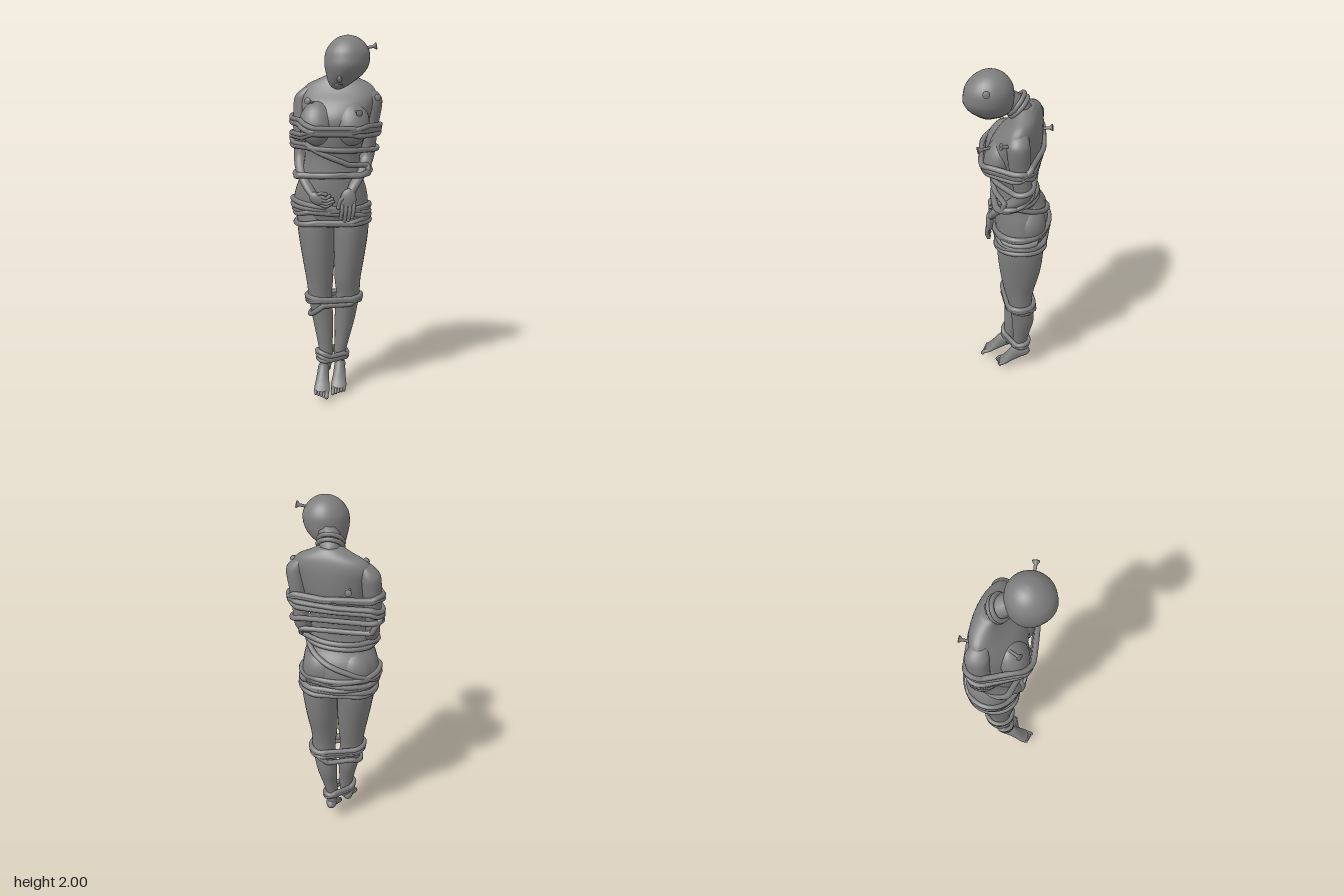
import * as THREE from 'three';

const mat = new THREE.MeshStandardMaterial({ color: 0x7e7e7e });
const V = (x, y, z) => new THREE.Vector3(x, y, z);

// Stations are horizontal ellipses, low to high: [y, centre x, centre z, radius x, radius z, shear of z by x]
const TORSO = [
  [0.97, -0.012, -0.06, 0.13, 0.1, 0], [1.02, -0.016, -0.064, 0.19, 0.135, 0], [1.1, -0.022, -0.066, 0.207, 0.145, 0],
  [1.18, -0.02, -0.056, 0.195, 0.138, 0], [1.26, -0.015, -0.032, 0.168, 0.112, 0], [1.36, -0.01, -0.026, 0.152, 0.102, 0],
  [1.46, 0, -0.025, 0.164, 0.118, 0.03], [1.56, 0.008, -0.034, 0.185, 0.136, 0.06], [1.64, 0.016, -0.054, 0.198, 0.12, 0.1],
  [1.7, 0.02, -0.078, 0.205, 0.092, 0.13], [1.745, 0.022, -0.09, 0.175, 0.07, 0.13], [1.775, 0.025, -0.09, 0.115, 0.056, 0.1],
  [1.8, 0.028, -0.08, 0.06, 0.045, 0],
];
const RIGHT_LEG = [
  [0.13, -0.047, 0.0, 0.028, 0.03], [0.2, -0.045, -0.005, 0.035, 0.036], [0.3, -0.052, -0.015, 0.044, 0.046],
  [0.42, -0.064, -0.03, 0.058, 0.061], [0.56, -0.08, -0.03, 0.066, 0.066], [0.66, -0.083, -0.035, 0.076, 0.082],
  [0.8, -0.092, -0.043, 0.092, 0.107], [0.95, -0.104, -0.055, 0.103, 0.124], [1.06, -0.11, -0.06, 0.1, 0.118],
];
const LEFT_LEG = [
  [0.13, 0.029, -0.085, 0.026, 0.03], [0.2, 0.027, -0.068, 0.033, 0.04], [0.3, 0.042, -0.076, 0.043, 0.05],
  [0.42, 0.057, -0.085, 0.059, 0.065], [0.56, 0.074, -0.07, 0.066, 0.067], [0.66, 0.073, -0.062, 0.074, 0.085],
  [0.8, 0.083, -0.067, 0.087, 0.112], [0.95, 0.091, -0.068, 0.098, 0.126], [1.06, 0.088, -0.07, 0.094, 0.118],
];
const RIGHT_ARM = [
  [1.15, -0.1, 0.09, 0.025, 0.022], [1.19, -0.13, 0.062, 0.03, 0.03], [1.25, -0.164, 0.005, 0.036, 0.044],
  [1.31, -0.186, -0.055, 0.037, 0.05], [1.37, -0.192, -0.088, 0.038, 0.046], [1.5, -0.19, -0.1, 0.044, 0.053],
  [1.64, -0.18, -0.112, 0.052, 0.06], [1.69, -0.168, -0.11, 0.048, 0.056], [1.73, -0.14, -0.105, 0.028, 0.035],
];
const LEFT_ARM = [
  [1.17, 0.095, 0.09, 0.026, 0.02], [1.22, 0.12, 0.058, 0.031, 0.03], [1.3, 0.161, -0.03, 0.038, 0.047],
  [1.37, 0.179, -0.085, 0.041, 0.048], [1.5, 0.192, -0.07, 0.043, 0.052], [1.64, 0.207, -0.062, 0.052, 0.058],
  [1.69, 0.198, -0.062, 0.048, 0.052], [1.73, 0.17, -0.065, 0.028, 0.034],
];
const HEAD = [
  [1.722, 0.03, 0.1, 0.012, 0.014], [1.735, 0.032, 0.1, 0.038, 0.042], [1.765, 0.046, 0.09, 0.07, 0.086],
  [1.8, 0.063, 0.09, 0.096, 0.114], [1.84, 0.073, 0.094, 0.114, 0.126], [1.88, 0.077, 0.092, 0.119, 0.124],
  [1.92, 0.079, 0.089, 0.113, 0.116], [1.96, 0.08, 0.085, 0.088, 0.09], [1.988, 0.08, 0.083, 0.052, 0.053],
  [2, 0.08, 0.083, 0.012, 0.012],
];
const bust = (x, z) => [[1.44, x, z - 0.01, 0.06, 0.06], [1.52, x, z, 0.085, 0.076], [1.6, x, z - 0.02, 0.07, 0.06]];
const SEAT = [[1.02, -0.015, -0.105, 0.16, 0.085], [1.12, -0.015, -0.11, 0.17, 0.092], [1.21, -0.015, -0.095, 0.15, 0.075]];

function add(parent, name, geometry) {
  const mesh = new THREE.Mesh(geometry, mat);
  mesh.name = name;
  parent.add(mesh);
  return mesh;
}

// Smooth closed skin through the stations
function loft(stations, steps = 4, sides = 28) {
  const at = (i) => stations[Math.max(0, Math.min(stations.length - 1, i))];
  const rows = [];
  for (let i = 0; i < stations.length - 1; i++) {
    for (let s = 0; s < steps; s++) {
      const t = s / steps;
      rows.push(at(i).map((b, k) => {
        const a = at(i - 1)[k], c = at(i + 1)[k], d = at(i + 2)[k];
        return b + 0.5 * t * (c - a + t * (2 * a - 5 * b + 4 * c - d + t * (3 * (b - c) + d - a)));
      }));
    }
  }
  rows.push(at(stations.length));
  const pos = [], index = [], n = rows.length;
  for (const [y, cx, cz, rx, rz, k = 0] of rows) {
    for (let i = 0; i < sides; i++) {
      const a = (i / sides) * Math.PI * 2, x = Math.cos(a) * rx;
      pos.push(cx + x, y, cz + Math.sin(a) * rz + k * x);
    }
  }
  for (const r of [rows[0], rows[n - 1]]) pos.push(r[1], r[0], r[2]);
  for (let i = 0; i < sides; i++) {
    const j = (i + 1) % sides;
    for (let r = 0; r < n - 1; r++) {
      const a = r * sides + i, b = r * sides + j;
      index.push(a, a + sides, b, b, a + sides, b + sides);
    }
    index.push(n * sides, i, j, n * sides + 1, (n - 1) * sides + j, (n - 1) * sides + i);
  }
  const g = new THREE.BufferGeometry();
  g.setAttribute('position', new THREE.Float32BufferAttribute(pos, 3));
  g.setIndex(index);
  g.computeVertexNormals();
  return g;
}

function ellipsoid(parent, name, [x, y, z], [rx, ry, rz]) {
  const m = add(parent, name, new THREE.SphereGeometry(1, 24, 16));
  m.position.set(x, y, z);
  m.scale.set(rx, ry, rz);
  return m;
}

const tube = (points, r, closed = false, segments = 12) =>
  new THREE.TubeGeometry(new THREE.CatmullRomCurve3(points, closed), segments, r, 8, closed);

function digit(parent, name, points, r) {
  add(parent, name, tube(points.map((q) => V(...q)), r));
  ellipsoid(parent, name + 'Tip', points.at(-1), [r, r, r]);
}

// Ellipse of a limb at height y, or null when the limb does not reach it
function sectionAt(st, y) {
  if (y < st[0][0] || y > st.at(-1)[0]) return null;
  const i = Math.max(1, st.findIndex((s) => s[0] >= y)), t = (y - st[i - 1][0]) / (st[i][0] - st[i - 1][0]);
  return st[i].map((v, k) => st[i - 1][k] + (v - st[i - 1][k]) * t);
}

// Taut rope: follows the outermost limb in each direction; heights at the -x side, +x side, plus front lift
function rope(parent, limbs, yRight, yLeft, front = 0, from = 0, to = Math.PI * 2) {
  const closed = to - from > 6.28, count = 56, r = 0.0145, pts = [];
  for (let i = 0; i < (closed ? count : count + 1); i++) {
    const a = from + ((to - from) * i) / count, dx = Math.cos(a), dz = Math.sin(a);
    const y = (yRight + yLeft) / 2 + ((yLeft - yRight) / 2) * dx + front * dz;
    let best = -Infinity, point;
    for (const limb of limbs) {
      const s = sectionAt(limb, y);
      if (!s) continue;
      const [, cx, cz, rx, rz, k = 0] = s, ex = dx + k * dz;
      const len = Math.hypot(ex * rx, dz * rz), reach = cx * dx + cz * dz + len;
      if (reach <= best) continue;
      best = reach;
      const px = (rx * rx * ex) / len;
      point = V(cx + px + dx * r * 0.6, y, cz + (rz * rz * dz) / len + k * px + dz * r * 0.6);
    }
    pts.push(point);
  }
  add(parent, 'rope', tube(pts, r, closed, 130));
}

// Nail with a flared head, pointing outward along dir
function nail(parent, at, dir) {
  const profile = [[0, -0.04], [0.007, -0.03], [0.008, 0.03], [0.018, 0.043], [0.018, 0.049], [0, 0.05]];
  const m = add(parent, 'nail', new THREE.LatheGeometry(profile.map((p) => new THREE.Vector2(...p)), 12));
  m.position.set(...at);
  m.quaternion.setFromUnitVectors(V(0, 1, 0), V(...dir).normalize());
}

// Pointed foot, local y runs from heel to toes and local z toward the sole
function foot(parent, name, position, pitch, side) {
  const g = new THREE.Group();
  g.name = name;
  g.position.set(...position);
  g.rotation.x = pitch;
  add(g, 'sole', loft([[-0.006, 0, -0.015, 0.012, 0.016], [0.018, 0, -0.025, 0.029, 0.036], [0.06, 0, -0.036, 0.032, 0.048],
    [0.11, 0, -0.026, 0.036, 0.037], [0.16, 0, -0.013, 0.043, 0.023], [0.195, 0, -0.008, 0.041, 0.015], [0.203, 0, -0.008, 0.02, 0.008]]));
  for (let i = 0; i < 5; i++) {
    const x = side * (-0.03 + i * 0.0155), r = i ? 0.0082 : 0.0115;
    digit(g, 'toe', [[x, 0.185, -0.01], [x, 0.21 - i * 0.003, -0.012], [x, 0.228 - i * 0.006, -0.006]], r);
  }
  parent.add(g);
}

export function createModel() {
  const model = new THREE.Group();
  model.name = 'boundFigure';

  // Body, with the head bowed forward
  const parts = { torso: TORSO, rightLeg: RIGHT_LEG, leftLeg: LEFT_LEG, rightArm: RIGHT_ARM, leftArm: LEFT_ARM, head: HEAD };
  for (const [name, st] of Object.entries(parts)) add(model, name, loft(st));
  for (const [x, z] of [[-0.088, 0.046], [0.1, 0.04]]) {
    ellipsoid(model, 'chest', [x, 1.54, z], [0.095, 0.12, 0.078]).rotation.x = -0.33;
  }
  for (const s of [-1, 1]) ellipsoid(model, 'seat', [-0.013 + s * 0.082, 1.12, -0.104], [0.11, 0.118, 0.1]);
  add(model, 'neck', tube([V(0.025, 1.7, -0.09), V(0.035, 1.79, -0.055), V(0.065, 1.86, 0.04)], 0.058));
  ellipsoid(model, 'nose', [0.044, 1.775, 0.183], [0.013, 0.022, 0.014]).rotation.x = 0.6;
  ellipsoid(model, 'mouth', [0.036, 1.747, 0.148], [0.024, 0.009, 0.012]);
  foot(model, 'leftFoot', [0.03, 0.124, -0.125], 2.11, 1);
  foot(model, 'rightFoot', [-0.058, 0.13, -0.035], 2.05, -1);

  // Hands
  const leftPalm = ellipsoid(model, 'leftPalm', [0.085, 1.135, 0.098], [0.044, 0.062, 0.02]);
  leftPalm.rotation.z = -0.1;
  const rightPalm = ellipsoid(model, 'rightPalm', [-0.08, 1.138, 0.096], [0.052, 0.033, 0.02]);
  rightPalm.rotation.z = -0.5;
  for (let i = 0; i < 4; i++) {
    const x = 0.052 + i * 0.021, drop = [0.012, 0, 0.005, 0.02][i], y = 1.098 + i * 0.015;
    digit(model, 'leftFinger', [[x + 0.002, 1.125, 0.1], [x, 1.075, 0.112], [x - 0.007, 1.022 + drop, 0.104]], 0.0105);
    digit(model, 'rightFinger', [[-0.07, y + 0.012, 0.1], [-0.035, y, 0.108], [0.005 - drop, y + 0.012, 0.1]], 0.0085);
  }
  digit(model, 'leftThumb', [[0.075, 1.16, 0.1], [0.042, 1.13, 0.11], [0.033, 1.095, 0.11]], 0.011);
  digit(model, 'rightThumb', [[-0.09, 1.155, 0.1], [-0.06, 1.17, 0.108], [-0.035, 1.165, 0.108]], 0.01);

  // Neck rope, two turns
  for (const [y, z, tilt] of [[1.795, -0.052, 0.84], [1.813, -0.04, 0.92]]) {
    const ring = add(model, 'neckRope', new THREE.TorusGeometry(0.063, 0.012, 8, 40));
    ring.position.set(0.033, y, z);
    ring.rotation.x = -Math.PI / 2 + tilt;
  }

  // Ropes around chest and arms, hips, knees and ankles
  const upper = [TORSO, RIGHT_ARM, LEFT_ARM, bust(-0.092, 0.062), bust(0.1, 0.05)];
  const hips = [TORSO, SEAT, RIGHT_LEG, LEFT_LEG], legs = [RIGHT_LEG, LEFT_LEG];
  for (const [r, l, f] of [[1.57, 1.51, -0.02], [1.55, 1.49, -0.03], [1.48, 1.53, 0], [1.46, 1.51, 0.01], [1.42, 1.4, -0.01],
    [1.45, 1.27, 0], [1.265, 1.285, -0.01], [1.25, 1.27, 0]]) rope(model, upper, r, l, f);
  for (const [r, l, f] of [[1.12, 1.05, 0], [1.09, 1.08, -0.01], [1.04, 1.09, 0], [1.06, 1.03, 0.01], [0.99, 1.03, -0.01],
    [0.985, 1.0, 0]]) rope(model, hips, r, l, f);
  rope(model, [TORSO, SEAT], 1.06, 1.27, 0, Math.PI, Math.PI * 2);
  for (const [r, l, f] of [[0.565, 0.545, 0], [0.535, 0.56, 0], [0.455, 0.555, 0], [0.545, 0.53, 0.01],
    [0.24, 0.2, 0.01], [0.2, 0.205, -0.01], [0.225, 0.185, 0]]) rope(model, legs, r, l, f);

  // Nails
  nail(model, [0.182, 1.935, 0.09], [1, 0.2, -0.05]);
  nail(model, [-0.112, 1.652, 0.045], [-0.5, 0.2, 0.9]);
  nail(model, [0.13, 1.605, 0.1], [0.35, -0.1, 1]);
  nail(model, [0.222, 1.67, -0.022], [0.35, 0.2, 1]);
  nail(model, [-0.08, 1.615, -0.175], [0, 0.15, -1]);
  return model;
}
